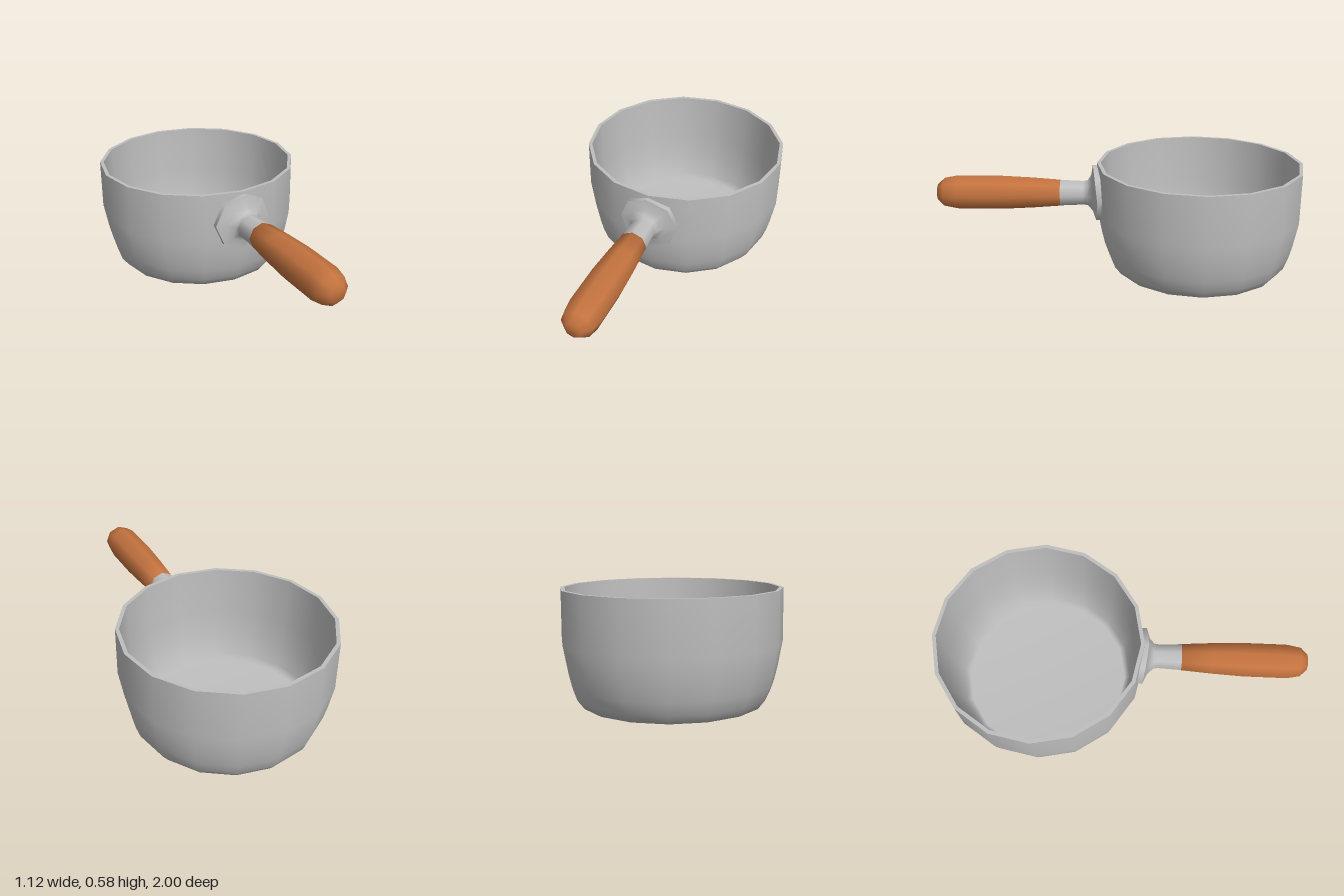
import * as THREE from 'three';

const POT_Z = -0.44;
const GRIP_Y = 0.41;

const lathe = (points, sides) =>
  new THREE.LatheGeometry(points.map(([r, y]) => new THREE.Vector2(r, y)), sides);

// Lathe whose axis runs along +z, at grip height
const latheZ = (points) => lathe(points, 8).rotateX(Math.PI / 2);

function addMesh(group, name, geometry, material) {
  const mesh = new THREE.Mesh(geometry, material);
  mesh.name = name;
  group.add(mesh);
  return mesh;
}

export function createModel() {
  const model = new THREE.Group();
  model.name = 'saucepan';
  const steel = new THREE.MeshStandardMaterial({ color: 0xbfbfbf });
  steel.name = 'steel';
  const wood = new THREE.MeshStandardMaterial({ color: 0xc4733f });
  wood.name = 'wood';

  // Pot: outer shell with base, flat rim, inner shell with floor
  const pot = new THREE.Group();
  pot.name = 'pot';
  pot.position.z = POT_Z;
  model.add(pot);
  addMesh(pot, 'outerShell', lathe([
    [0, 0], [0.46, 0], [0.495, 0.045], [0.518, 0.11], [0.535, 0.18], [0.56, 0.315], [0.56, 0.585],
  ], 16), steel);
  addMesh(pot, 'rim', lathe([[0.56, 0.585], [0.54, 0.585]], 16), steel);
  addMesh(pot, 'innerShell', lathe([
    [0.54, 0.585], [0.53, 0.315], [0.51, 0.18], [0.485, 0.06], [0.455, 0.03], [0, 0.03],
  ], 16), steel);

  // Handle
  const handle = new THREE.Group();
  handle.name = 'handle';
  handle.position.y = GRIP_Y;
  model.add(handle);

  // Steel socket, its flange bent to follow the pot wall
  const bend = (geometry) => {
    const p = geometry.attributes.position;
    for (let i = 0; i < p.count; i++) {
      const x = p.getX(i), y = p.getY(i), r = Math.hypot(x, y);
      if (r < 0.08) continue;
      const drop = 1.1 * x * x + (y < 0 ? 0.6 * y * y : 0);
      p.setZ(i, p.getZ(i) - drop);
    }
    return geometry;
  };
  addMesh(handle, 'flangeEdge', bend(latheZ([[0.162, 0.1], [0.162, 0.143]])), steel);
  const socket = bend(latheZ([
    [0.162, 0.143], [0.105, 0.152], [0.073, 0.172], [0.069, 0.195], [0.075, 0.325],
  ]));
  addMesh(handle, 'socket', socket, steel);

  // Wooden grip with a rounded end
  addMesh(handle, 'grip', latheZ([
    [0, 0.322], [0.076, 0.322], [0.088, 0.48], [0.097, 0.65], [0.097, 0.89],
    [0.083, 0.96], [0.045, 1], [0, 1],
  ]), wood);

  return model;
}
